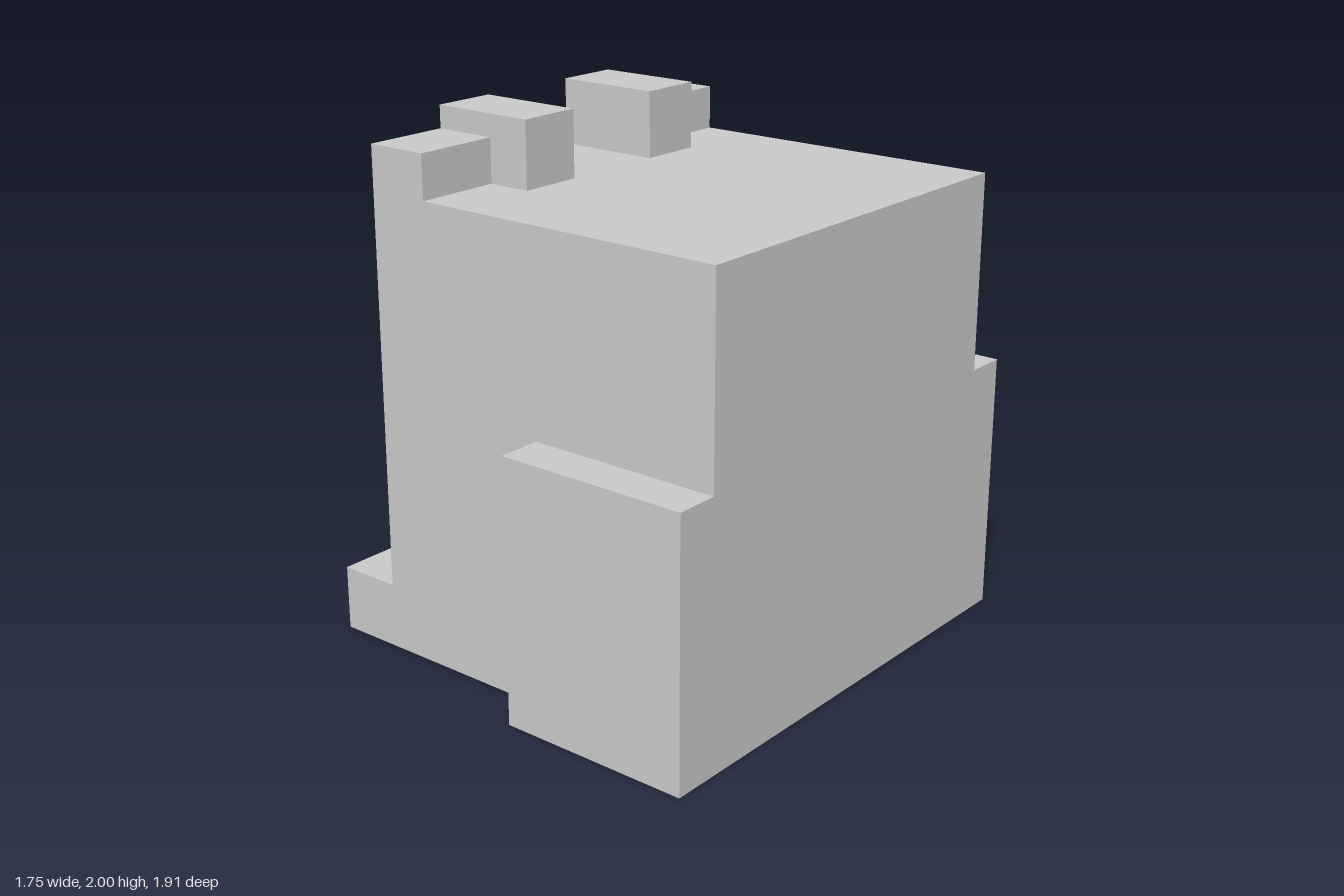
import * as THREE from 'three';

export function createModel() {
  const model = new THREE.Group();
  model.name = 'blockAnimal';
  const material = new THREE.MeshStandardMaterial({ color: 0xcccccc, flatShading: true });

  // Box given by its lower and upper limit on each axis
  function block(name, [x0, x1], [y0, y1], [z0, z1]) {
    const mesh = new THREE.Mesh(new THREE.BoxGeometry(x1 - x0, y1 - y0, z1 - z0), material);
    mesh.position.set((x0 + x1) / 2, (y0 + y1) / 2, (z0 + z1) / 2);
    mesh.name = name;
    model.add(mesh);
  }

  // The same box on both sides of the body
  function pair(name, x, y, [z0, z1]) {
    block(name + 'Front', x, y, [z0, z1]);
    block(name + 'Back', x, y, [-z1, -z0]);
  }

  const face = -0.625; // plane of the face, which looks towards -x
  const rear = 0.875;
  const side = 0.79;
  const top = 1.75;

  block('body', [face, rear], [0, top], [-side, side]);
  block('snout', [-0.795, face], [0.67, 0.92], [-0.293, 0.293]);

  pair('foot', [-0.875, face], [0, 0.25], [0.21, side]);
  pair('haunch', [0.12, rear], [0, 1], [side, 0.957]);

  // Each ear is a tall inner block with a lower, shorter outer one
  pair('innerEar', [face, -0.21], [top, 2], [0.21, 0.457]);
  pair('outerEar', [face, -0.38], [top, 1.915], [0.457, side]);

  return model;
}
